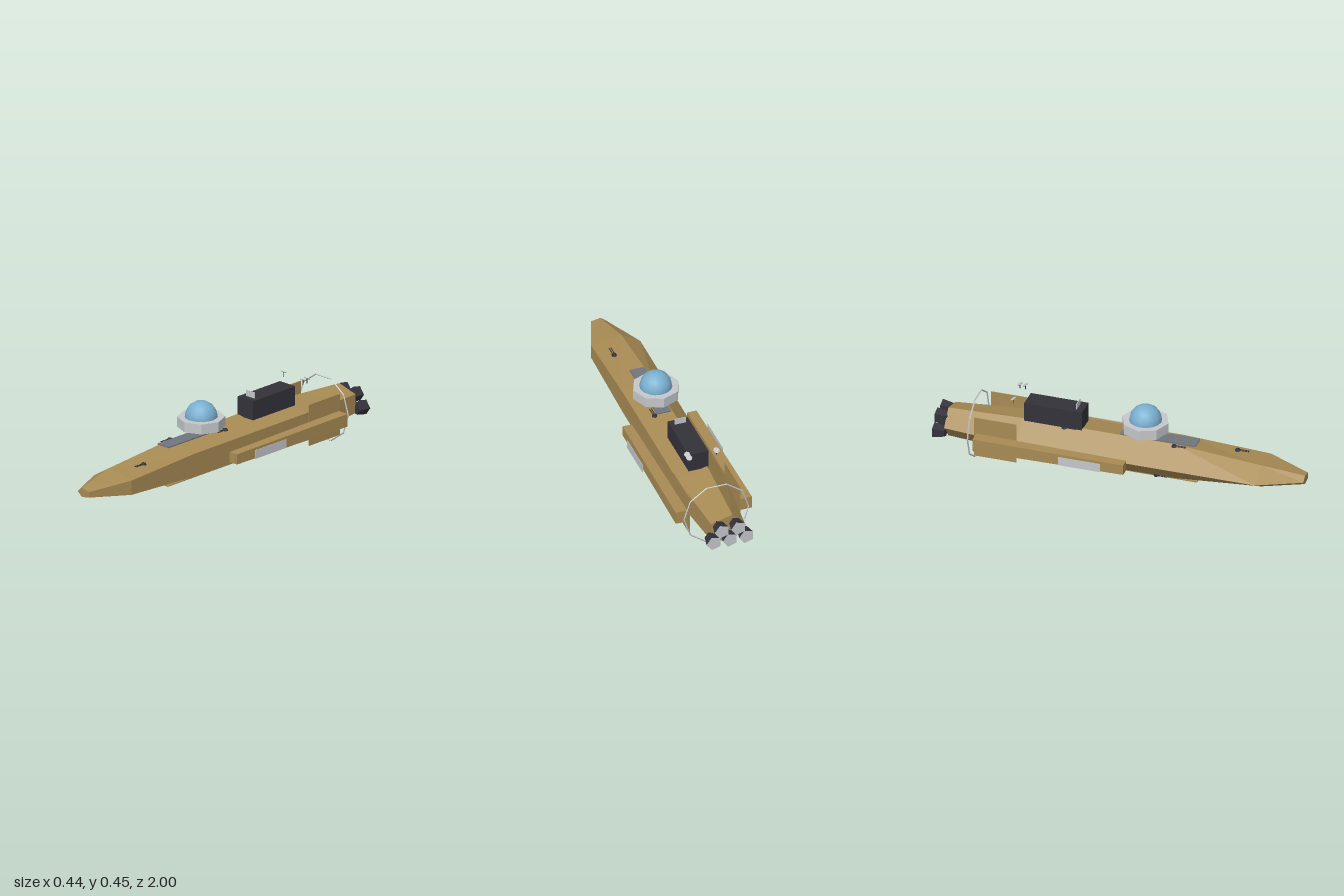
import * as THREE from 'three';

const mat = (name, color, extra = {}) => {
  const m = new THREE.MeshStandardMaterial({ color, flatShading: true, ...extra });
  m.name = name;
  return m;
};

// Closed loft through cross-sections, each a counter-clockwise loop seen from +z, ordered front to back.
function loft(sections) {
  const n = sections[0].length, pos = [], index = [];
  sections.forEach(loop => loop.forEach(p => pos.push(...p)));
  for (let i = 0; i < sections.length - 1; i++) {
    for (let j = 0; j < n; j++) {
      const a = i * n + j, b = i * n + (j + 1) % n;
      index.push(a, a + n, b, b, a + n, b + n);
    }
  }
  const last = (sections.length - 1) * n;
  for (let j = 1; j < n - 1; j++) {
    index.push(0, j, j + 1, last, last + j + 1, last + j);
  }
  const g = new THREE.BufferGeometry();
  g.setAttribute('position', new THREE.Float32BufferAttribute(pos, 3));
  g.setIndex(index);
  const flat = g.toNonIndexed();
  flat.computeVertexNormals();
  return flat;
}

export function createModel() {
  const model = new THREE.Group();
  model.name = 'spaceship';
  const tan = mat('hull tan', 0xa88b54);
  const silver = mat('silver', 0xc4c7ca);
  const black = mat('charcoal', 0x33323a);
  const grey = mat('deck grey', 0x6f747e);
  const blue = mat('dome blue', 0x7ab0d0, { flatShading: false });

  const add = (name, geo, material, x = 0, y = 0, z = 0, parent = model) => {
    const m = new THREE.Mesh(geo, material);
    m.name = name;
    m.position.set(x, y, z);
    parent.add(m);
    return m;
  };
  const box = (name, w, h, d, material, x, y, z) =>
    add(name, new THREE.BoxGeometry(w, h, d), material, x, y, z);

  // Five-sided hull with one edge pointing to -x
  const CY = 0.174;
  const pentagon = ([z, rx, ry]) => Array.from({ length: 5 }, (_, k) => {
    const a = Math.PI + k * Math.PI * 0.4;
    return [rx * Math.cos(a), CY + ry * Math.sin(a), z];
  });
  add('hull', loft([
    [1, 0.045, 0.026], [0.77, 0.15, 0.067], [0.3, 0.15, 0.107],
    [-0.53, 0.15, 0.11], [-0.94, 0.105, 0.088],
  ].map(pentagon)), tan);

  // Deck strip and belly panel
  box('deckStrip', 0.08, 0.006, 0.41, grey, 0, 0.278, 0.205);
  box('bellyPanel', 0.09, 0.005, 0.82, tan, 0, 0.069, 0.01);

  // Observation dome on an eight-sided drum
  add('domeDrum', new THREE.CylinderGeometry(0.125, 0.125, 0.055, 8), silver, 0, 0.338, 0.125);
  add('dome', new THREE.SphereGeometry(0.086, 16, 4, 0, Math.PI * 2, 0, Math.PI / 2),
    blue, 0, 0.365, 0.125);

  // Dorsal block with an upright sensor plate
  box('dorsalBlock', 0.11, 0.105, 0.315, black, 0, 0.322, -0.362);
  box('sensorPlate', 0.06, 0.035, 0.004, silver, 0, 0.39, -0.242);

  // Side pods, outboard plates and stern fins, mirrored
  const square = (x, h, v, z) =>
    [[x - h, 0.165 - v, z], [x + h, 0.165 - v, z], [x + h, 0.165 + v, z], [x - h, 0.165 + v, z]];
  for (const [side, s] of [['left', 1], ['right', -1]]) {
    add(side + 'Pod', loft([square(s * 0.178, 0.026, 0.028, 0.07),
      square(s * 0.178, 0.032, 0.035, -0.75)]), tan);
    box(side + 'PodPlate', 0.002, 0.048, 0.23, silver, s * 0.221, 0.165, -0.165);
    box(side + 'Fin', 0.005, 0.226, 0.23, tan, s * 0.14, 0.177, -0.648);
  }

  // Ten-sided ring around the stern
  add('sternRing', new THREE.TorusGeometry(0.178, 0.0042, 4, 10), silver, 0, CY, -0.788);

  // Five flared engines, two above three
  const engine = new THREE.CylinderGeometry(0.029, 0.042, 0.065, 5);
  engine.rotateY(Math.PI / 2 + Math.PI * 0.2 * 5 - Math.PI);
  engine.rotateX(Math.PI / 2);
  for (const [x, y] of [[-0.045, 0.208], [0.045, 0.208], [-0.09, 0.145], [0, 0.145], [0.09, 0.145]]) {
    add('engine', engine, [black, black, silver], x, y, -0.9675);
  }

  // Twin-barrel turrets, hung upside down on the belly
  const turretBase = new THREE.CylinderGeometry(0.011, 0.015, 0.01, 8);
  const barrel = new THREE.CylinderGeometry(0.0024, 0.0024, 0.06, 6).rotateX(Math.PI / 2);
  for (const [x, y, z, up] of [
    [0.053, 0.246, 0.61, 1], [0.053, 0.273, 0, 1], [-0.057, 0.273, 0.3, 1], [-0.057, 0.273, -0.3, 1],
    [0.053, 0.106, 0.52, -1], [0.053, 0.079, -0.1, -1], [-0.055, 0.077, 0.2, -1],
  ]) {
    const turret = new THREE.Group();
    turret.name = 'turret';
    turret.position.set(x, y, z);
    add('turretBase', turretBase, black, 0, 0, 0, turret).rotation.z = up > 0 ? 0 : Math.PI;
    for (const s of [-1, 1]) add('barrel', barrel, black, s * 0.005, 0, 0.032, turret);
    model.add(turret);
  }

  // Small dishes tilted backwards on thin stems
  const dish = new THREE.CylinderGeometry(0.017, 0.015, 0.003, 8);
  const stem = new THREE.CylinderGeometry(0.002, 0.002, 0.026, 6);
  for (const [x, z] of [[-0.08, -0.57], [0.076, -0.555], [0.076, -0.585]]) {
    add('dish', dish, silver, x, 0.406, z).rotation.x = -0.55;
    add('dishStem', stem, black, x, 0.392, z);
  }
  return model;
}
